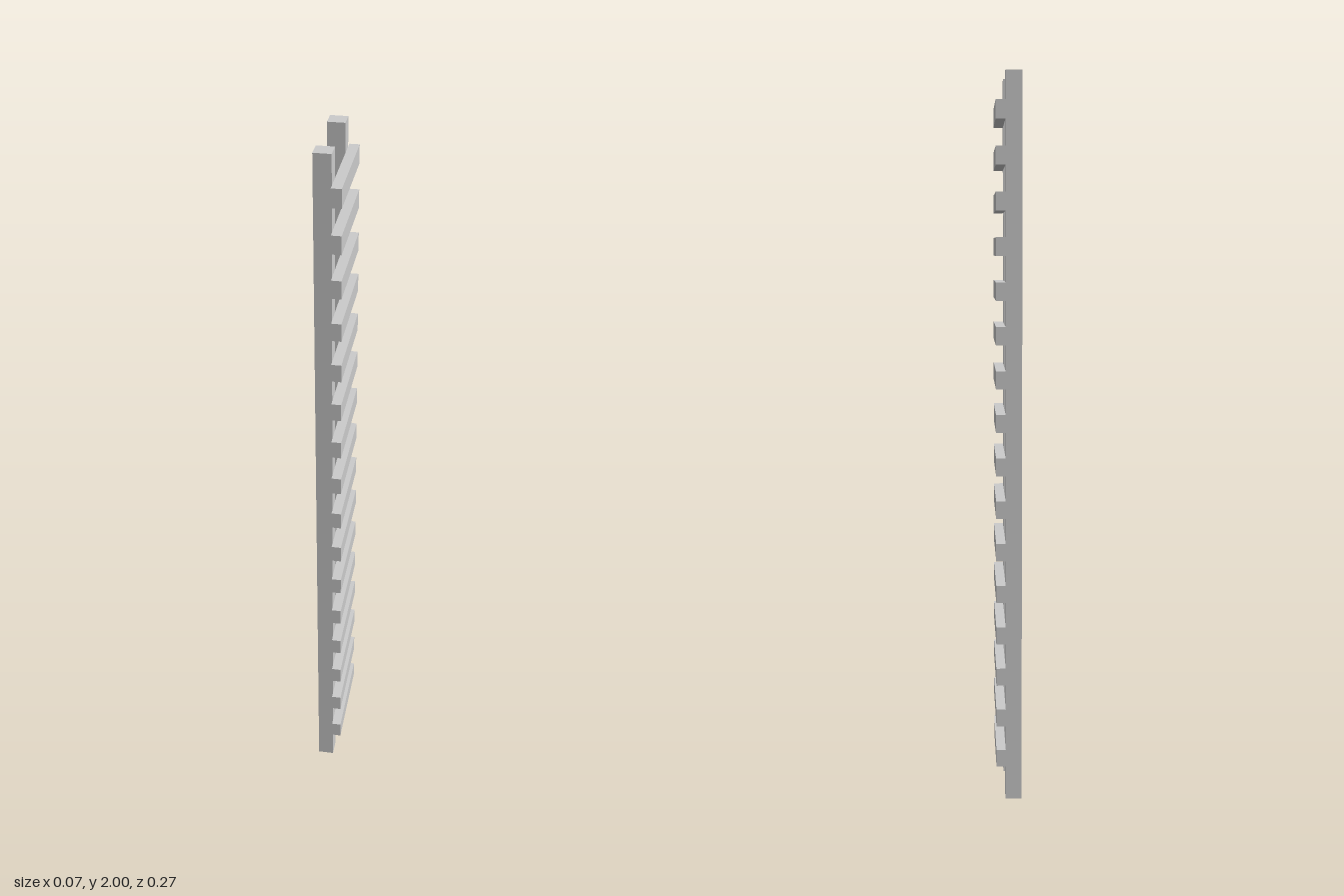
import * as THREE from 'three';

export function createModel() {
  const group = new THREE.Group();
  const material = new THREE.MeshStandardMaterial({ color: 0xcccccc, flatShading: true });

  function addBox(name, size, position) {
    const mesh = new THREE.Mesh(new THREE.BoxGeometry(...size), material);
    mesh.name = name;
    mesh.position.set(...position);
    group.add(mesh);
  }

  // Two square upright rails
  for (const side of [1, -1]) {
    addBox(side > 0 ? 'frontRail' : 'backRail', [0.045, 2, 0.045], [-0.0135, 1, side * 0.0975]);
  }

  // Flat rungs fixed to the +x face of the rails
  const rungCount = 16;
  const firstY = 0.127, lastY = 1.899;
  for (let i = 0; i < rungCount; i++) {
    const y = THREE.MathUtils.lerp(firstY, lastY, i / (rungCount - 1));
    addBox(`rung${i + 1}`, [0.026, 0.049, 0.273], [0.022, y, -0.001]);
  }

  return group;
}
